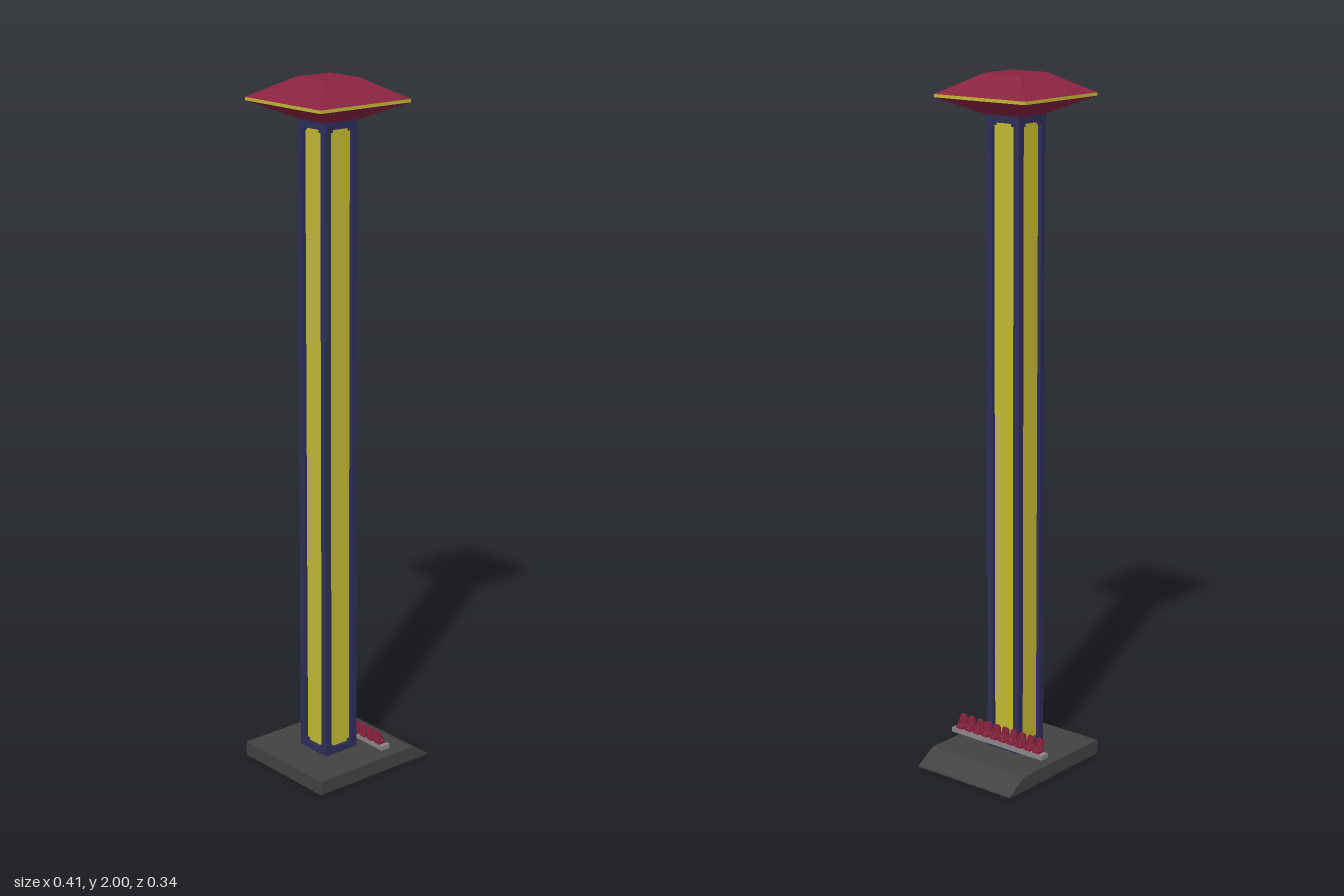
import * as THREE from 'three';

const mat = (name, color) => {
  const m = new THREE.MeshStandardMaterial({ color });
  m.name = name;
  return m;
};

export function createModel() {
  const maroon = mat('maroon', 0x8a2340);
  const yellow = mat('yellow', 0xc4b934);
  const navy = mat('navy', 0x2e2e58);
  const charcoal = mat('charcoal', 0x424242);
  const grey = mat('grey', 0x8c8688);

  const root = new THREE.Group();
  const add = (parent, name, geo, material, x = 0, y = 0, z = 0) => {
    const mesh = new THREE.Mesh(geo, material);
    mesh.name = name;
    mesh.position.set(x, y, z);
    parent.add(mesh);
    return mesh;
  };
  const box = (w, h, d) => new THREE.BoxGeometry(w, h, d);

  // Base slab with a ramp on the +x side
  const slab = new THREE.Shape([
    [-0.205, 0], [0.205, 0], [0.205, 0.004], [0.14, 0.042], [-0.205, 0.042],
  ].map(([x, y]) => new THREE.Vector2(x, y)));
  const slabGeo = new THREE.ExtrudeGeometry(slab, { depth: 0.344, bevelEnabled: false });
  slabGeo.translate(0, 0, -0.172);
  add(root, 'base', slabGeo, charcoal);

  // Tower: yellow core inside four framed faces
  const tower = new THREE.Group();
  tower.name = 'tower';
  tower.position.x = -0.032;
  root.add(tower);
  const H = 0.058, bottom = 0.042, top = 1.892, depth = 0.012;
  add(tower, 'panels', box(0.094, 1.82, 0.094), yellow, 0, 0.967, 0);

  const frame = new THREE.Shape([
    [-H, bottom], [H, bottom], [H, top], [-H, top],
  ].map(([x, y]) => new THREE.Vector2(x, y)));
  // Opening with small stepped corners
  const w = 0.038, n = 0.008, y0 = 0.062, y1 = 1.868;
  frame.holes.push(new THREE.Path([
    [-w + n, y0], [-w + n, y0 + n], [-w, y0 + n], [-w, y1 - n], [-w + n, y1 - n], [-w + n, y1],
    [w - n, y1], [w - n, y1 - n], [w, y1 - n], [w, y0 + n], [w - n, y0 + n], [w - n, y0],
  ].map(([x, y]) => new THREE.Vector2(x, y))));
  const frameGeo = new THREE.ExtrudeGeometry(frame, { depth, bevelEnabled: false });
  frameGeo.translate(0, 0, H - depth);
  for (let i = 0; i < 4; i++) {
    add(tower, 'towerFrame', frameGeo, navy).rotation.y = i * Math.PI / 2;
  }

  // Roof: flared underside, thin rim, sloped top
  const frustum = (halfTop, halfBottom, yBottom, yTop) => {
    const geo = new THREE.CylinderGeometry(
      halfTop * Math.SQRT2, halfBottom * Math.SQRT2, yTop - yBottom, 4).toNonIndexed();
    geo.rotateY(Math.PI / 4);
    geo.translate(0, (yBottom + yTop) / 2, 0);
    geo.computeVertexNormals();
    return geo;
  };
  add(tower, 'roofUnderside', frustum(0.158, H, 1.888, 1.935), maroon);
  add(tower, 'roofRim', frustum(0.158, 0.158, 1.935, 1.944), yellow);
  add(tower, 'roofTop', frustum(0.06, 0.158, 1.944, 2), maroon);

  // Carriage with a row of ten seats
  const carriage = new THREE.Group();
  carriage.name = 'carriage';
  root.add(carriage);
  add(carriage, 'carriageBeam', box(0.028, 0.014, 0.338), grey, 0.044, 0.071, -0.001);

  const backGeo = box(0.006, 0.036, 0.024);
  const panGeo = box(0.022, 0.008, 0.024);
  const headGeo = box(0.006, 0.005, 0.016);
  const barGeo = box(0.004, 0.03, 0.003);
  for (let i = 0; i < 10; i++) {
    const seat = new THREE.Group();
    seat.name = 'seat';
    seat.position.set(0.033, 0.078, 0.143 - i * 0.0318);
    carriage.add(seat);
    add(seat, 'seatBack', backGeo, maroon, 0, 0.018, 0);
    add(seat, 'seatPan', panGeo, maroon, 0.011, 0.004, 0);
    add(seat, 'headrest', headGeo, maroon, 0, 0.0375, 0);
    // Slanted shoulder restraints
    for (const side of [-1, 1]) {
      add(seat, 'restraint', barGeo, maroon, 0.01, 0.022, side * 0.007).rotation.z = 0.55;
    }
  }

  return root;
}
